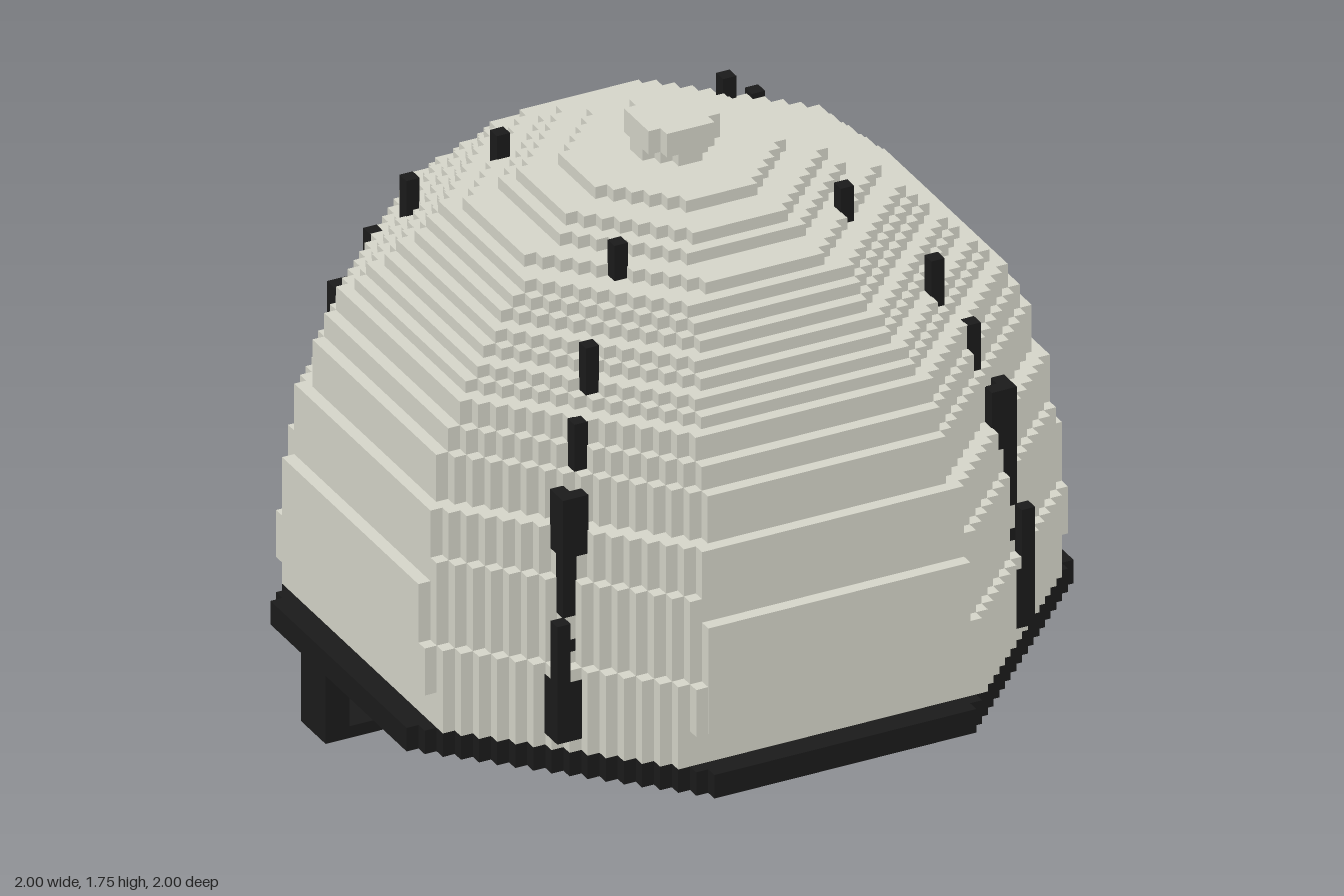
import * as THREE from 'three';

const U = 2 / 56; // one block

// Octagon with stair-stepped diagonals: flat sides at h, diagonal at |x|+|z| = sum
function octagonPoints(h, sum) {
  const a = sum - h;
  const quarter = [[a, h]];
  for (let i = 0; i < h - a; i++) quarter.push([a + i, h - i - 1], [a + i + 1, h - i - 1]);
  const points = [];
  for (let q = 0, pts = quarter; q < 4; q++, pts = pts.map(([x, y]) => [y, -x])) {
    for (const [x, y] of pts) points.push(new THREE.Vector2(x * U, y * U));
  }
  return points;
}

export function createModel() {
  const model = new THREE.Group();
  const stone = new THREE.MeshStandardMaterial({ color: 0xd6d6ca });
  const black = new THREE.MeshStandardMaterial({ color: 0x1b1b1b });
  stone.name = 'paleGrey';
  black.name = 'black';

  const add = (name, geometry, material, parent) => {
    const mesh = new THREE.Mesh(geometry, material);
    mesh.name = name;
    parent.add(mesh);
    return mesh;
  };
  // Box from its block limits
  const box = (name, material, x0, x1, y0, y1, z0, z1, parent = model) => {
    const g = new THREE.BoxGeometry((x1 - x0) * U, (y1 - y0) * U, (z1 - z0) * U);
    g.translate((x0 + x1) * U / 2, (y0 + y1) * U / 2, (z0 + z1) * U / 2);
    return add(name, g, material, parent);
  };
  // Octagonal slab, optionally with an octagonal opening (wound the other way)
  const slab = (name, material, y0, y1, outer, inner, parent = model) => {
    const shape = new THREE.Shape(octagonPoints(...outer));
    if (inner) shape.holes.push(new THREE.Path(octagonPoints(...inner).reverse()));
    const g = new THREE.ExtrudeGeometry(shape, { depth: (y1 - y0) * U, bevelEnabled: false });
    g.rotateX(-Math.PI / 2).translate(0, y0 * U, 0);
    return add(name, g, material, parent);
  };

  // Hollow stepped dome: [top, half width, diagonal sum]
  const layers = [
    [12, 26, 39], [16, 27, 39], [23, 26, 38], [27, 26, 37], [31, 25, 35], [33, 24, 34],
    [35, 23, 33], [36, 22, 31], [37, 21, 30], [38, 20, 28], [39, 19, 27], [40, 18, 25],
    [41, 17, 24], [42, 16, 23], [43, 15, 20], [44, 12, 17], [45, 11, 15], [46, 8, 11],
  ];
  const dome = new THREE.Group();
  dome.name = 'dome';
  model.add(dome);
  let bottom = 9;
  layers.forEach(([top, h, sum], i) => {
    const next = layers[i + 1];
    const inner = next && [Math.min(h, next[1]) - 1, Math.min(sum, next[2]) - 2];
    slab('domeLayer', stone, bottom, top, [h, sum], inner, dome);
    bottom = top;
  });
  slab('knobNeck', stone, 46, 47, [3, 4], null, dome);
  slab('topKnob', stone, 47, 49, [3, 5], null, dome);

  // Base ring and the lip below it
  slab('baseRing', black, 7, 9, [28, 39], [25, 36]);
  slab('innerLip', stone, 6, 9, [25, 36], [24, 34]);

  // Raised panel and inner dark strip on each of the four flat sides
  for (let i = 0; i < 4; i++) {
    const side = new THREE.Group();
    side.name = 'flatSide';
    side.rotation.y = i * Math.PI / 2;
    model.add(side);
    box('sidePanel', stone, -11, 11, 12, 21, 25.5, 27.02, side);
    box('innerStrip', black, -10, 10, 7, 9, 23.9, 25, side);
  }

  // Rib blocks set into the four diagonals, slightly proud: [x, z, bottom, top]
  const ribBlocks = [
    [19, 19, 10, 20], [19, 18, 10, 15], [18, 19, 10, 15], [18, 18, 17, 18], [18, 18, 20, 30],
    [18, 17, 25, 30], [17, 18, 25, 30], [16, 16, 31, 35], [14, 14, 36, 40], [9, 9, 42, 45],
  ];
  const half = 0.56;
  for (const sx of [1, -1]) {
    for (const sz of [1, -1]) {
      const rib = new THREE.Group();
      rib.name = 'diagonalRib';
      model.add(rib);
      for (const [x, z, y0, y1] of ribBlocks) {
        const cx = sx * (x + 0.5), cz = sz * (z + 0.5);
        box('ribBlock', black, cx - half, cx + half, y0, y1, cz - half, cz + half, rib);
      }
    }
  }

  // Legs, crossbar and the blocks on it
  box('leftLeg', black, 25, 27, 0, 7, -8, -4);
  box('rightLeg', black, -27, -25, 0, 7, -8, -4);
  box('rearLeg', black, -2, 2, 0, 7, -27, -25);
  box('crossbar', black, -25, 25, 0, 1, -8, -4);
  box('centreBlock', black, -8, 8, 0, 3, -9, -2);
  box('pedal', stone, 13, 18, 0, 2, -9, -2);

  return model;
}
